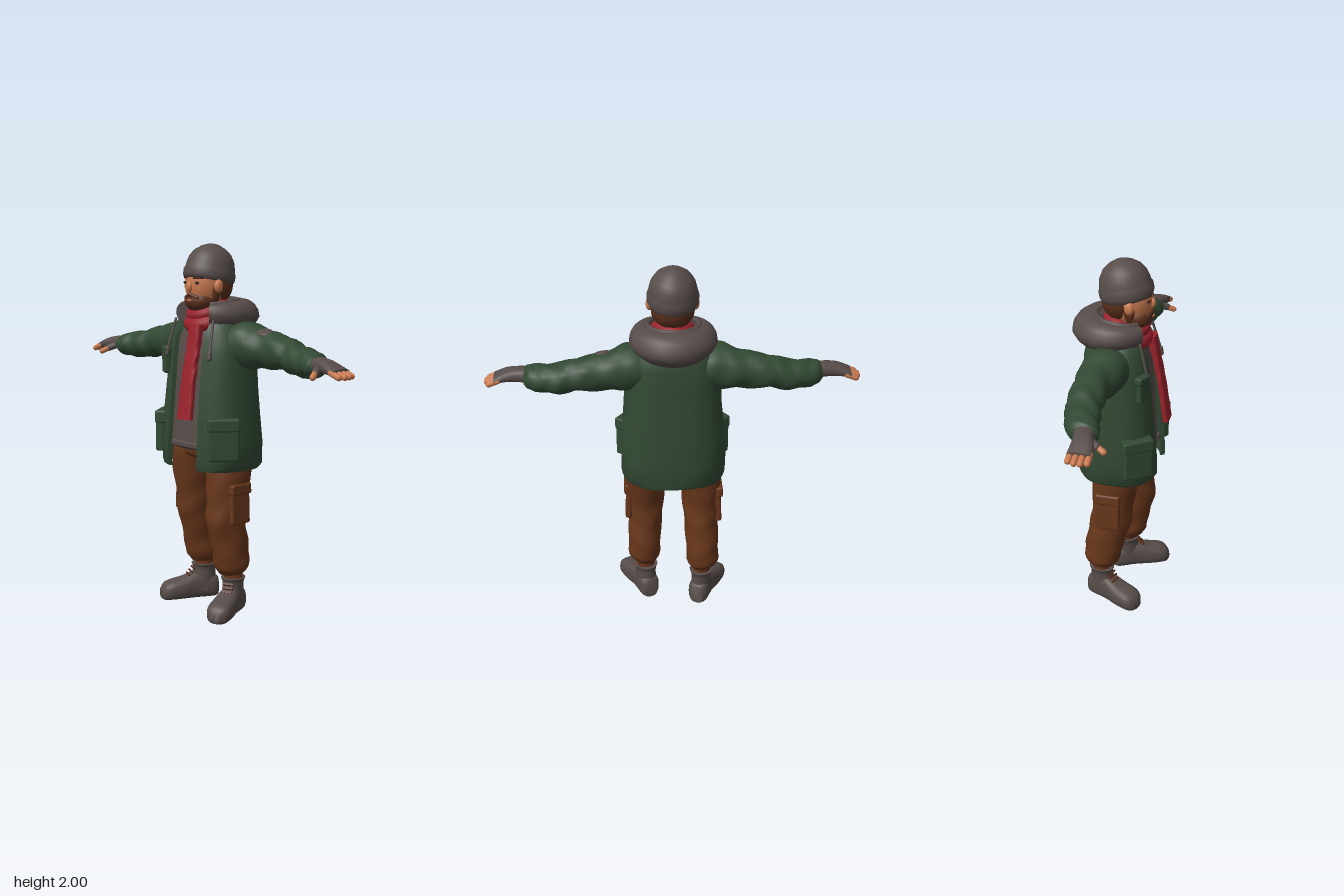
import * as THREE from 'three';
import { toCreasedNormals } from 'three/addons/utils/BufferGeometryUtils.js';
import { RoundedBoxGeometry } from 'three/addons/geometries/RoundedBoxGeometry.js';

const mat = (name, color) => {
  const m = new THREE.MeshStandardMaterial({ color });
  m.name = name;
  return m;
};
const spow = (v, e) => Math.sign(v) * Math.abs(v) ** e;

// Skin closed rings of points into a capped solid
function loft(rings, crease = 0.9) {
  const n = rings[0].length, idx = [], pos = rings.flat(2), last = (rings.length - 1) * n;
  const quad = (a, b, c, d) => idx.push(a, b, c, a, c, d);
  for (let r = 0; r < rings.length - 1; r++)
    for (let i = 0; i < n; i++) {
      const a = r * n + i, b = r * n + (i + 1) % n;
      quad(a, b, b + n, a + n);
    }
  for (let i = 0; i < n / 2 - 1; i++) {
    quad(i + 1, i, n - 1 - i, n - 2 - i);
    quad(last + i, last + i + 1, last + n - 2 - i, last + n - 1 - i);
  }
  // Turn the faces outward when the enclosed volume is negative
  let vol = 0;
  const P = i => new THREE.Vector3().fromArray(pos, idx[i] * 3);
  for (let i = 0; i < idx.length; i += 3) vol += P(i).dot(P(i + 1).cross(P(i + 2)));
  if (vol < 0) idx.reverse();
  const g = new THREE.BufferGeometry();
  g.setAttribute('position', new THREE.Float32BufferAttribute(pos, 3));
  g.setIndex(idx);
  return toCreasedNormals(g, crease);
}

// Smooth limb through sections [x, y, z, radiusA, radiusB] along one axis
function limb(axis, secs, { n = 20, steps = 24, e = 1, wrinkle = 0, side = 1, waves = 5 } = {}) {
  const curve = f => new THREE.CatmullRomCurve3(secs.map(f), false, 'catmullrom');
  const centre = curve(s => new THREE.Vector3(s[0], s[1], s[2]));
  const radii = curve(s => new THREE.Vector3(s[3], s[4], 0));
  const rings = [];
  for (let k = 0; k <= steps; k++) {
    const u = k / steps, c = centre.getPoint(u), r = radii.getPoint(u), ring = [];
    for (let i = 0; i < n; i++) {
      const a = (i / n) * Math.PI * 2;
      const w = 1 + wrinkle * Math.sin(u * Math.PI) * Math.sin(u * waves * 6.28 + 2 * Math.sin(a * 2 + u * 4));
      const p = spow(Math.cos(a), e) * r.x * w, q = spow(Math.sin(a), e) * r.y * w;
      const v = axis === 'x' ? [c.x, c.y + p, c.z + q] : axis === 'y' ? [c.x + p, c.y, c.z + q] : [c.x + p, c.y + q, c.z];
      ring.push([v[0] * side, Math.max(0, v[1]), v[2]]);
    }
    rings.push(ring);
  }
  return loft(rings);
}

// Open-fronted coat shell with thickness, from sections [y, halfWidth, back, front]
function coatShell(secs, n = 40, thick = 0.022) {
  return loft(secs.map(([y, a, back, front], k) => {
    const cz = (front + back) / 2, b = (front - back) / 2;
    const t0 = Math.asin((Math.min(0.115, a * 0.7) / a) ** (1 / 0.8));
    const line = d => Array.from({ length: n }, (_, i) => {
      const t = t0 + (i / (n - 1)) * (2 * Math.PI - 2 * t0);
      const w = 1 + 0.012 * Math.sin(5 * t + k * 1.7);
      return [spow(Math.sin(t), 0.8) * (a - d) * w, y, cz + spow(Math.cos(t), 0.8) * (b - d) * w];
    });
    return [...line(0), ...line(thick).reverse()];
  }));
}

export function createModel() {
  const model = new THREE.Group();
  model.name = 'bundledMan';
  const grey = mat('charcoalWool', 0x574d4a), green = mat('coatGreen', 0x324934),
    brown = mat('trouserBrown', 0x67361b), red = mat('scarfRed', 0x9a222b),
    skin = mat('skin', 0xc97a50), hair = mat('hairBrown', 0x5a2f1c), dark = mat('eyeDark', 0x2b1d18);

  const add = (name, geo, m, p = [0, 0, 0], r = [0, 0, 0], parent = model) => {
    const mesh = new THREE.Mesh(geo, m);
    mesh.name = name;
    mesh.position.set(...p);
    mesh.rotation.set(...r);
    parent.add(mesh);
    return mesh;
  };
  const ball = (name, m, p, s, r) => add(name, new THREE.SphereGeometry(1, 24, 16), m, p, r).scale.set(...s);
  const box = (name, m, s, p, r, rad = 0.012) => add(name, new RoundedBoxGeometry(...s, 2, rad), m, p, r);
  const rod = (name, m, a, b, rad) => {
    const A = new THREE.Vector3(...a), d = new THREE.Vector3(...b).sub(A);
    const mesh = add(name, new THREE.CapsuleGeometry(rad, d.length(), 4, 10), m, A.clone().addScaledVector(d, 0.5).toArray());
    mesh.quaternion.setFromUnitVectors(new THREE.Vector3(0, 1, 0), d.normalize());
  };

  // Head, hair and beard
  ball('head', skin, [0, 1.79, 0.05], [0.108, 0.15, 0.112]);
  ball('hair', hair, [0, 1.78, 0], [0.113, 0.11, 0.105]);
  ball('beard', hair, [0, 1.7, 0.083], [0.09, 0.065, 0.085]);
  ball('nose', skin, [0, 1.775, 0.162], [0.016, 0.028, 0.016]);
  ball('lowerLip', skin, [0, 1.705, 0.163], [0.02, 0.006, 0.009]);
  add('neck', new THREE.CylinderGeometry(0.07, 0.08, 0.16, 20), skin, [0, 1.62, 0]);
  for (const s of [-1, 1]) {
    ball('ear', skin, [s * 0.12, 1.78, 0.065], [0.02, 0.035, 0.026]);
    ball('sideburn', hair, [s * 0.097, 1.755, 0.06], [0.016, 0.06, 0.028]);
    rod('moustache', hair, [0, 1.735, 0.16], [s * 0.045, 1.718, 0.146], 0.011);
    ball('eye', dark, [s * 0.045, 1.797, 0.15], [0.016, 0.008, 0.007]);
    rod('eyebrow', hair, [s * 0.025, 1.823, 0.153], [s * 0.068, 1.823, 0.133], 0.007);
  }

  // Knitted hat with rolled brim
  const hatProfile = [[0.1, 0.006], [0.132, 0], [0.141, 0.02], [0.141, 0.05], [0.134, 0.064], [0.131, 0.085],
    [0.122, 0.12], [0.1, 0.155], [0.066, 0.181], [0.03, 0.197], [0.0, 0.202]].map(p => new THREE.Vector2(...p));
  add('hat', new THREE.LatheGeometry(hatProfile, 32), grey, [0, 1.8, 0.03], [-0.2, 0, 0]).scale.set(0.96, 1, 1.02);

  // Scarf loops and hanging tail
  for (const [y, z, R, t, tilt] of [[1.6, 0.035, 0.09, 0.042, 0.32], [1.655, 0.035, 0.085, 0.034, 0.36], [1.625, 0.02, 0.1, 0.03, 0.55]]) {
    const g = new THREE.TorusGeometry(R, t, 12, 40);
    g.rotateX(Math.PI / 2);
    add('scarfLoop', g, red, [0, y, z], [tilt, 0, 0.06]);
  }
  add('scarfTail', limb('y', [[0.04, 1.58, 0.15, 0.04, 0.025], [0.045, 1.45, 0.178, 0.043, 0.018],
    [0.045, 1.3, 0.208, 0.047, 0.017], [0.047, 1.085, 0.24, 0.053, 0.017]], { e: 0.4, wrinkle: 0.05 }), red);

  // Hood: crescent pouch round the back of the neck
  const hoodRings = [], rim = [];
  for (let k = 0; k <= 32; k++) {
    const phi = -2.4 + (k / 32) * 4.8, f = Math.cos((phi / 2.4) * Math.PI / 2);
    const w = 0.032 + 0.068 * f, h = 0.05 + 0.05 * f, cy = 1.635 - 0.025 * f, ring = [];
    const at = (R, y) => [Math.sin(phi) * R, y, -Math.cos(phi) * R];
    for (let i = 0; i < 16; i++) {
      const a = (i / 16) * Math.PI * 2;
      ring.push(at(0.16 + w * Math.cos(a) - 0.04 * f * Math.min(0, Math.sin(a)) * -1, cy + h * Math.sin(a)));
    }
    hoodRings.push(ring);
    rim.push(new THREE.Vector3(...at(0.135, cy + h * 0.9)));
  }
  add('hood', loft(hoodRings), grey);
  add('hoodRim', new THREE.TubeGeometry(new THREE.CatmullRomCurve3(rim), 40, 0.016, 8), grey);

  // Shirt and coat
  add('shirt', limb('y', [[0, 0.91, 0.01, 0.235, 0.165], [0, 0.95, 0.01, 0.24, 0.175], [0, 1.2, 0.005, 0.225, 0.165],
    [0, 1.45, 0, 0.215, 0.145], [0, 1.58, 0, 0.13, 0.12]], { n: 32, e: 0.8 }), grey);
  box('shirtHem', grey, [0.25, 0.035, 0.02], [0, 0.935, 0.18]);
  add('coat', coatShell([[0.81, 0.272, -0.21, 0.222], [0.83, 0.285, -0.218, 0.23], [0.95, 0.284, -0.219, 0.226],
    [1.1, 0.275, -0.21, 0.217], [1.25, 0.262, -0.2, 0.205], [1.4, 0.255, -0.19, 0.188], [1.5, 0.245, -0.185, 0.172],
    [1.57, 0.21, -0.17, 0.15], [1.62, 0.165, -0.14, 0.125], [1.65, 0.12, -0.11, 0.1]]), green);

  for (const s of [-1, 1]) {
    // Sleeves, fingerless gloves and hands
    add('sleeve', limb('x', [[0.12, 1.47, -0.02, 0.11, 0.13], [0.24, 1.472, -0.035, 0.125, 0.125], [0.36, 1.458, -0.058, 0.102, 0.1],
      [0.5, 1.445, -0.063, 0.088, 0.09], [0.6, 1.42, -0.053, 0.08, 0.09], [0.7, 1.412, -0.03, 0.072, 0.088],
      [0.76, 1.41, -0.01, 0.062, 0.08], [0.785, 1.41, -0.003, 0.042, 0.058]], { steps: 40, wrinkle: 0.06, side: s, waves: 6 }), green);
    add('glove', limb('x', [[0.74, 1.418, -0.005, 0.04, 0.055], [0.82, 1.418, 0.008, 0.037, 0.05],
      [0.88, 1.41, 0.018, 0.031, 0.056], [0.945, 1.392, 0.018, 0.02, 0.06]], { side: s, e: 0.8 }), grey);
    for (let i = 0; i < 4; i++) {
      const z = -0.027 + i * 0.031, reach = [0.97, 0.982, 0.982, 0.972][i];
      rod('finger', skin, [s * 0.92, 1.395, z], [s * reach, 1.376, z], 0.016);
    }
    rod('thumbSleeve', grey, [s * 0.81, 1.4, 0.045], [s * 0.83, 1.388, 0.075], 0.02);
    rod('thumb', skin, [s * 0.83, 1.385, 0.08], [s * 0.845, 1.37, 0.112], 0.016);

    // Coat pockets, front trim and hood cords
    box('coatPocket', green, [0.16, 0.2, 0.05], [s * 0.247, 0.975, 0.142], [0, s * 0.95, 0]);
    box('pocketFlap', green, [0.17, 0.07, 0.066], [s * 0.243, 1.065, 0.14], [0, s * 0.95, 0]);
    rod('hoodCord', grey, [s * 0.15, 1.6, 0.13], [s * 0.17, 1.45, 0.17], 0.007);
    rod('cordToggle', grey, [s * 0.17, 1.44, 0.172], [s * 0.172, 1.41, 0.177], 0.013);

    // Trousers: the left leg stands forward of the right
    const legZ = s > 0 ? [0.005, 0.01, 0.035, 0.042, 0.015, 0.008, 0.005] : [0, 0, -0.01, -0.025, -0.06, -0.072, -0.07];
    const leg = [[0.12, 0.98, 0.12, 0.13], [0.143, 0.82, 0.122, 0.132], [0.153, 0.66, 0.106, 0.115], [0.155, 0.52, 0.096, 0.115],
      [0.162, 0.37, 0.09, 0.108], [0.164, 0.27, 0.09, 0.097], [0.158, 0.225, 0.06, 0.07]];
    add('trouserLeg', limb('y', leg.map(([x, y, a, b], i) => [x, y, legZ[i], a, b]),
      { steps: 36, wrinkle: 0.035, side: s }), brown);
    box('cargoPocket', brown, [0.035, 0.2, 0.13], [s * 0.247, 0.62, s > 0 ? 0.03 : -0.02], [0, 0, s * 0.04]);
    box('cargoFlap', brown, [0.045, 0.06, 0.14], [s * 0.25, 0.71, s > 0 ? 0.03 : -0.02], [0, 0, s * 0.04]);

    // Boots, toes turned out
    const boot = new THREE.Group();
    boot.name = 'boot';
    boot.position.set(s * 0.163, 0, s > 0 ? 0 : -0.07);
    boot.rotation.y = s * 0.44;
    model.add(boot);
    add('bootFoot', limb('z', [[0, 0.06, -0.085, 0.04, 0.055], [0, 0.068, -0.055, 0.057, 0.068], [0, 0.075, 0.04, 0.056, 0.075],
      [0, 0.062, 0.12, 0.066, 0.062], [0, 0.054, 0.19, 0.067, 0.054], [0, 0.046, 0.225, 0.055, 0.045], [0, 0.038, 0.245, 0.03, 0.026]],
      { e: 0.7 }), grey, [0, 0, 0], [0, 0, 0], boot);
    add('bootShaft', limb('y', [[0, 0.05, -0.01, 0.058, 0.072], [0, 0.13, -0.008, 0.056, 0.068], [0, 0.175, -0.01, 0.057, 0.066],
      [0, 0.2, -0.01, 0.066, 0.074]]), grey, [0, 0, 0], [0, 0, 0], boot);
    add('ankle', new THREE.CylinderGeometry(0.05, 0.052, 0.08, 18), brown, [0, 0.215, -0.01], [0, 0, 0], boot);
    for (let i = 0; i < 3; i++)
      add('lace', new THREE.BoxGeometry(0.06, 0.01, 0.012), hair, [0, 0.172 - i * 0.018, 0.057 + i * 0.014], [-0.7, 0, 0], boot);
  }

  // Seat of the trousers, chest pouch and shoulder patch
  add('trouserSeat', limb('y', [[0, 0.845, 0, 0.16, 0.09], [0, 0.88, 0, 0.24, 0.135], [0, 1, 0, 0.235, 0.14]], { n: 28 }), brown);
  box('chestPocket', green, [0.08, 0.14, 0.035], [-0.2, 1.375, 0.158], [0, -0.5, 0]);
  box('chestFlap', green, [0.086, 0.045, 0.045], [-0.2, 1.43, 0.155], [0, -0.5, 0]);
  ball('shoulderPatch', grey, [0.37, 1.548, -0.03], [0.045, 0.012, 0.042], [0.3, 0, -0.15]);

  return model;
}
